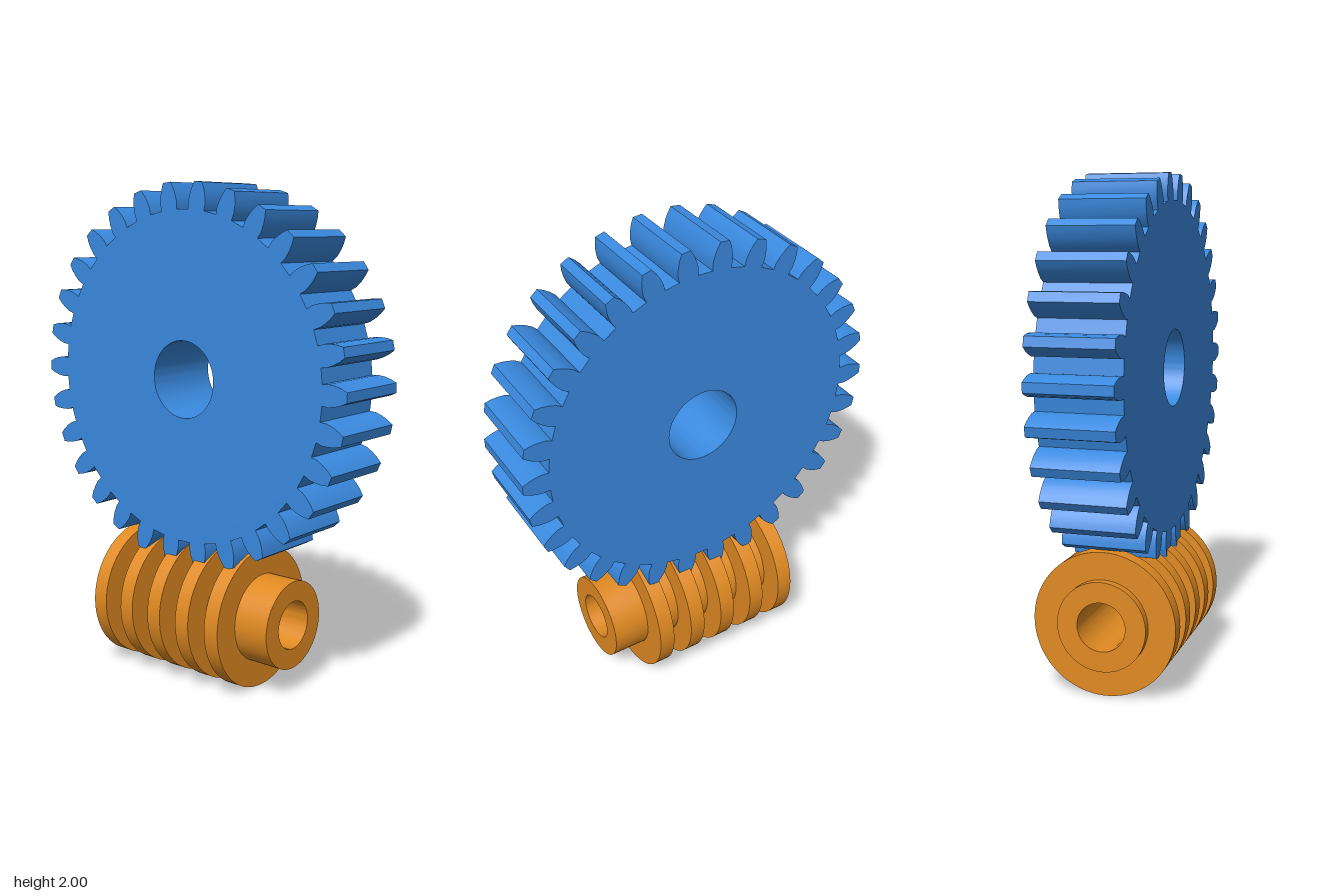
import * as THREE from 'three';
import { toCreasedNormals } from 'three/addons/utils/BufferGeometryUtils.js';

const wheelBlue = new THREE.MeshStandardMaterial({ color: 0x3a8ae0 });
wheelBlue.name = 'wheelBlue';
const wormOrange = new THREE.MeshStandardMaterial({ color: 0xe08a22 });
wormOrange.name = 'wormOrange';

// Spur wheel: 30 straight teeth with rounded flanks and a round bore
function makeWheel() {
  const teeth = 30, depth = 0.334;
  const flank = [[0.655, 0.039], [0.682, 0.042], [0.71, 0.038], [0.737, 0.03], [0.76, 0.019]]; // radius, half width
  const points = [];
  for (let i = 0; i < teeth; i++) {
    const mid = (i / teeth) * Math.PI * 2;
    const add = (r, w) => points.push(new THREE.Vector2(r * Math.cos(mid + w / r), r * Math.sin(mid + w / r)));
    flank.forEach(([r, w]) => add(r, -w));
    [...flank].reverse().forEach(([r, w]) => add(r, w));
  }
  const shape = new THREE.Shape(points);
  const bore = new THREE.Path();
  bore.absarc(0, 0, 0.153, 0, Math.PI * 2, true);
  shape.holes.push(bore);
  const geometry = new THREE.ExtrudeGeometry(shape, { depth, bevelEnabled: false, curveSegments: 48 });
  geometry.translate(0, 0, -depth / 2);
  const mesh = new THREE.Mesh(toCreasedNormals(geometry, 0.4), wheelBlue);
  mesh.name = 'gearWheel';
  mesh.position.y = 1.241;
  return mesh;
}

// Worm: hollow shaft with five square ridges, turned as one closed profile
function makeWorm() {
  const bore = 0.097, shaft = 0.178, ridge = 0.286;
  const start = -0.428, end = 0.425;
  const profile = [[bore, start], [shaft, start]];
  for (let i = 0; i < 5; i++) {
    const a = -0.393 + i * 0.1497, b = a + 0.066;
    profile.push([shaft, a], [ridge, a], [ridge, b], [shaft, b]);
  }
  profile.push([shaft, end], [bore, end], [bore, start]);
  const geometry = new THREE.LatheGeometry(profile.map(([r, y]) => new THREE.Vector2(r, y)), 72);
  geometry.rotateZ(-Math.PI / 2);
  const mesh = new THREE.Mesh(toCreasedNormals(geometry, 0.5), wormOrange);
  mesh.name = 'worm';
  mesh.position.y = ridge;
  return mesh;
}

export function createModel() {
  const model = new THREE.Group();
  model.name = 'wormDrive';
  model.add(makeWheel(), makeWorm());
  return model;
}
